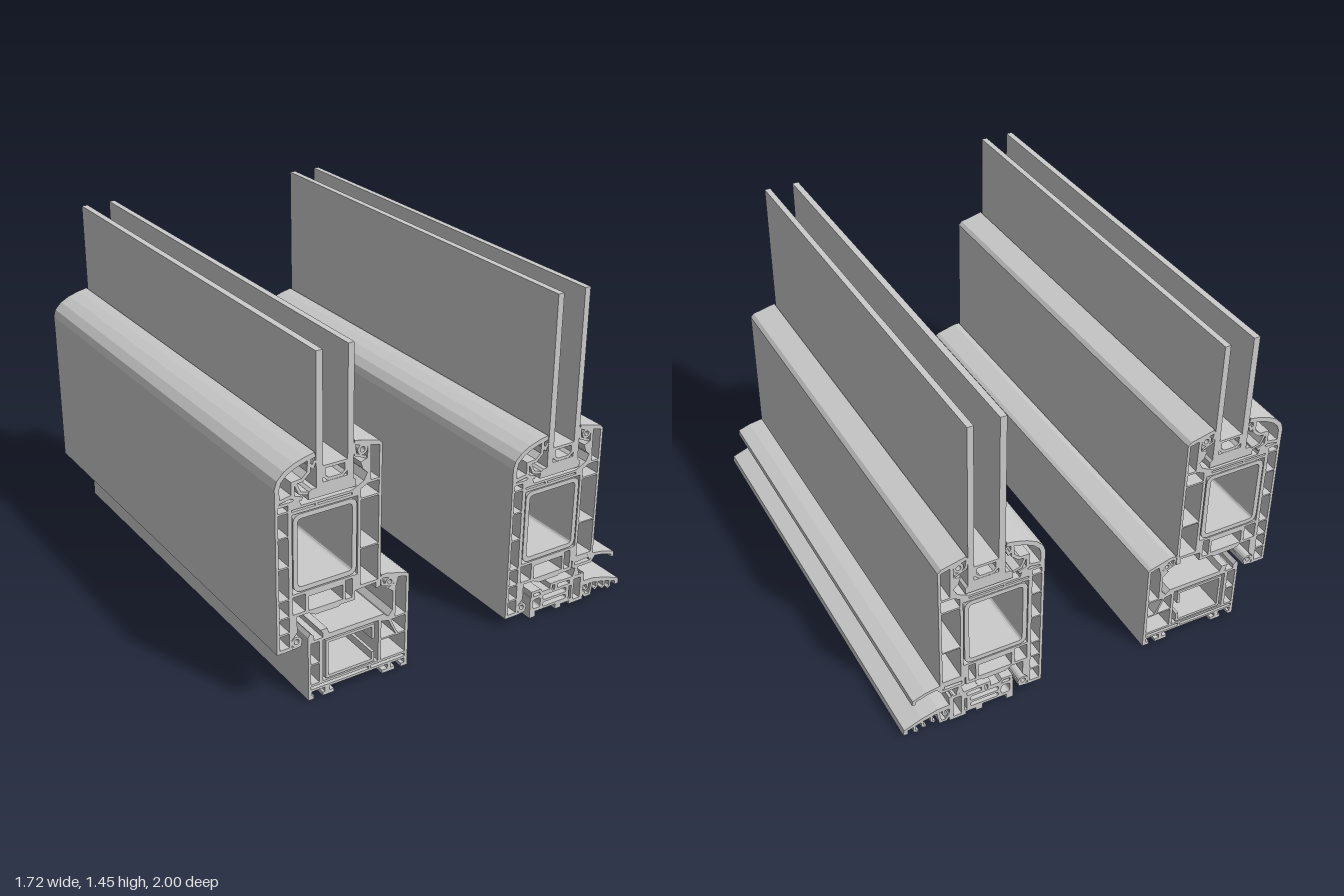
import * as THREE from 'three';

const material = new THREE.MeshStandardMaterial({ color: 0xcccccc, side: THREE.DoubleSide });
const LENGTH = 2;

const toPoints = (list) => list.map(([x, y]) => new THREE.Vector2(x, y));
const rect = (x0, y0, x1, y1) => [[x0, y0], [x1, y0], [x1, y1], [x0, y1]];

// Extrudes one cross-section, with chambers cut out, along the full length
function profile(parent, name, outline, chambers = []) {
  const shape = new THREE.Shape(toPoints(outline));
  chambers.forEach((c) => shape.holes.push(new THREE.Path(toPoints(c))));
  const geometry = new THREE.ExtrudeGeometry(shape, { depth: LENGTH, bevelEnabled: false });
  geometry.translate(0, 0, -LENGTH / 2);
  const mesh = new THREE.Mesh(geometry, material);
  mesh.name = name;
  parent.add(mesh);
}

// Thin wall of thickness t that follows a line, with mitred corners
function wall(parent, name, line, t, closed = false) {
  const p = toPoints(line), n = p.length, a = [], b = [];
  const normal = (i) => {
    const d = p[(i + 1) % n].clone().sub(p[i]).normalize();
    return new THREE.Vector2(-d.y, d.x);
  };
  for (let i = 0; i < n; i++) {
    const after = !closed && i === n - 1 ? normal(i - 1) : normal(i);
    const before = !closed && i === 0 ? after : normal((i - 1 + n) % n);
    const m = before.clone().add(after).multiplyScalar(t / 2 / Math.max(0.3, 1 + before.dot(after)));
    a.push([p[i].x + m.x, p[i].y + m.y]);
    b.push([p[i].x - m.x, p[i].y - m.y]);
  }
  if (closed) profile(parent, name, b, [a]); // line runs counterclockwise
  else profile(parent, name, [...a, ...b.reverse()]);
}

function circle(x, y, r, sides = 14) {
  return Array.from({ length: sides }, (_, i) => {
    const angle = (i / sides) * Math.PI * 2;
    return [x + r * Math.cos(angle), y + r * Math.sin(angle)];
  });
}
const gasket = (parent, name, x, y, r) => profile(parent, name, circle(x, y, r), [circle(x, y, r * 0.5)]);

// Rectangle with rounded corners
function rounded(x0, y0, x1, y1, r) {
  const corners = [[x1 - r, y1 - r], [x0 + r, y1 - r], [x0 + r, y0 + r], [x1 - r, y0 + r]];
  return corners.flatMap(([x, y], k) => [0, 1, 2, 3].map((i) => {
    const angle = (k + i / 3) * Math.PI / 2;
    return [x + r * Math.cos(angle), y + r * Math.sin(angle)];
  }));
}

// Glazed sash: hollow profile, steel tube, bead, gaskets and double glazing
function createSash(name, glassTop) {
  const g = new THREE.Group();
  g.name = name;
  const outline = [
    [-.86, .255], [-.795, .255], [-.795, .3], [-.772, .325], [-.772, .395], [-.72, .395], [-.705, .385],
    [-.515, .385], [-.515, .425], [-.42, .43], [-.42, .405], [-.4, .405], [-.4, 1.02], [-.415, 1.035],
    [-.52, 1.06], [-.525, 1.045], [-.465, 1.02], [-.465, .975], [-.495, .965], [-.485, .935], [-.465, .915],
    [-.48, .885], [-.53, .86], [-.75, .86], [-.765, .9], [-.79, .885], [-.86, .885],
  ];
  const chambers = [
    // room-side column
    ...[[.27, .33], [.338, .4], [.407, .476], [.483, .615], [.622, .742], [.748, .842], [.85, .873]]
      .map(([y0, y1]) => rect(-.848, y0, -.806, y1)),
    // reinforcement chamber and the small ones under it
    rect(-.79, .495, -.505, .83), rect(-.79, .408, -.735, .483), rect(-.72, .405, -.57, .468),
    rect(-.558, .4, -.528, .483),
    rect(-.79, .842, -.69, .85), rect(-.68, .842, -.53, .85),
    // outer column and upstand
    rect(-.492, .442, -.412, .597), rect(-.492, .603, -.412, .807),
    [[-.492, .815], [-.412, .815], [-.412, .87], [-.462, .87], [-.492, .855]],
    [[-.45, .88], [-.412, .88], [-.412, 1.015], [-.452, 1.025]],
  ];
  profile(g, 'sashProfile', outline, chambers);
  profile(g, 'sashSteelTube', rounded(-.786, .5, -.51, .826, .03), [rounded(-.766, .52, -.53, .806, .015)]);

  // Glazing bead: curved outer skin and stepped inner skin
  wall(g, 'beadSkin', [[-.85, .885], [-.851, .95], [-.842, .978], [-.815, 1.005], [-.775, 1.026],
    [-.73, 1.04], [-.69, 1.048]], .02);
  wall(g, 'beadStep', [[-.715, 1.04], [-.718, .985], [-.745, .96], [-.785, .957], [-.785, .9], [-.745, .885]], .014);
  wall(g, 'beadBase', [[-.852, .895], [-.79, .905]], .014);
  wall(g, 'beadSeal', [[-.72, 1.02], [-.7, 1.0], [-.69, 1.025]], .012);
  wall(g, 'beadClip', [[-.775, .955], [-.755, .91], [-.72, .9]], .012);

  // Glazing
  profile(g, 'innerPane', rect(-.686, .9, -.658, glassTop));
  profile(g, 'outerPane', rect(-.552, .9, -.526, glassTop));
  wall(g, 'glassSpacer', [[-.652, .988], [-.652, .95], [-.635, .935], [-.575, .935], [-.558, .95], [-.558, .988]], .012, true);
  profile(g, 'glassSealant', rect(-.658, .91, -.552, .928));
  profile(g, 'glazingBlock', [[-.72, .872], [-.515, .872], [-.515, .9], [-.53, .912], [-.705, .912], [-.72, .9]]);

  // Seals
  gasket(g, 'upstandGasket', -.487, 1.015, .022);
  wall(g, 'upstandLip', [[-.525, 1.05], [-.518, 1.0], [-.47, .98]], .01);
  gasket(g, 'rebateGasket', -.775, .285, .022);
  wall(g, 'rebateLip', [[-.795, .26], [-.76, .265], [-.755, .29]], .01);
  // Hardware groove lips under the sash
  wall(g, 'grooveLips', [[-.7, .395], [-.69, .385], [-.59, .385], [-.58, .395]], .012);
  return g;
}

// Fixed frame below the first sash
function createFrame() {
  const g = new THREE.Group();
  g.name = 'fixedFrame';
  profile(g, 'frameProfile', [
    [-.725, 0], [-.7, 0], [-.7, .015], [-.71, .015], [-.71, .035], [-.65, .035], [-.65, .015], [-.66, .015],
    [-.66, 0], [-.61, 0], [-.61, .015], [-.63, .015], [-.63, .035], [-.36, .035], [-.36, .015], [-.385, .015],
    [-.385, 0], [-.325, 0], [-.325, .015], [-.345, .015], [-.345, .035], [-.28, .035], [-.28, .015], [-.295, .015],
    [-.295, 0], [-.265, 0], [-.265, .42], [-.28, .43], [-.37, .455], [-.395, .455], [-.39, .44], [-.35, .43],
    [-.335, .4], [-.365, .385], [-.34, .365], [-.34, .28], [-.36, .257], [-.38, .275], [-.63, .275], [-.64, .3],
    [-.67, .3], [-.66, .285], [-.66, .265], [-.7, .265], [-.7, .285], [-.715, .3], [-.725, .285],
  ], [
    rect(-.713, .16, -.675, .253), rect(-.713, .068, -.675, .153),
    rect(-.66, .068, -.405, .253), rect(-.713, .045, -.45, .058), rect(-.44, .045, -.278, .058),
    rect(-.392, .068, -.278, .158),
    [[-.392, .165], [-.323, .165], [-.358, .238], [-.392, .245]],
    [[-.313, .165], [-.278, .165], [-.278, .238], [-.347, .238]],
    [[-.327, .246], [-.278, .246], [-.278, .412], [-.315, .423], [-.327, .38]],
  ]);
  wall(g, 'frameSteel', [[-.43, .18], [-.43, .24], [-.64, .24], [-.64, .08], [-.43, .08], [-.43, .12]], .012);
  gasket(g, 'frameGasket', -.355, .412, .02);
  wall(g, 'frameLip', [[-.395, .45], [-.39, .41], [-.35, .395]], .01);
  return g;
}

// Low threshold with ramp and drip bar below the second sash
function createThreshold() {
  const g = new THREE.Group();
  g.name = 'threshold';
  profile(g, 'thresholdBase', [
    [.36, 0], [.39, 0], [.39, .025], [.5, .025], [.5, 0], [.53, 0], [.53, .015], [.575, .015], [.575, 0], [.65, 0],
    [.65, .13], [.49, .135], [.49, .1], [.36, .1],
  ], [
    rounded(.375, .04, .415, .085, .01), rounded(.428, .068, .555, .09, .008), rounded(.428, .036, .555, .056, .008),
    [[.505, .103], [.57, .103], [.57, .12], [.505, .122]], rect(.57, .025, .583, .09), rect(.595, .015, .632, .115),
  ]);
  wall(g, 'thresholdHook', [[.37, .095], [.37, .12], [.41, .12], [.42, .105], [.47, .105], [.47, .13], [.52, .13]], .012);

  // Ramp with hooked nose and ribs
  profile(g, 'ramp', [[.645, .09], [.7, .088], [.77, .07], [.85, .04], [.855, .015], [.835, .012],
    [.833, .032], [.765, .052], [.7, .066], [.645, .066]]);
  for (const [x, y] of [[.675, .07], [.73, .06], [.77, .052], [.805, .042]]) {
    wall(g, 'rampRib', [[x, y], [x, y - .025], [x - .015, y - .033]], .01);
  }
  wall(g, 'rampFoot', [[.645, .04], [.665, .012], [.69, .012], [.7, .065]], .012);

  // Drip bar fixed to the sash, with brush seals
  wall(g, 'dripBar', [[.585, .175], [.585, .205], [.69, .208], [.75, .198], [.803, .18], [.805, .162]], .014);
  wall(g, 'dripBarFoot', [[.585, .178], [.68, .178], [.7, .205]], .014);
  profile(g, 'brushSeal', [[.585, .132], [.62, .132], [.608, .175], [.598, .175]]);
  wall(g, 'brushStem', [[.592, .012], [.592, .14]], .006);
  wall(g, 'brushStem', [[.636, .012], [.636, .14]], .006);
  return g;
}

export function createModel() {
  const model = new THREE.Group();
  model.name = 'doorProfileSections';
  model.add(createSash('framedSash', 1.447), createFrame());
  const sash = createSash('thresholdSash', 1.655);
  sash.position.set(1.089, -.215, 0);
  model.add(sash, createThreshold());
  return model;
}
